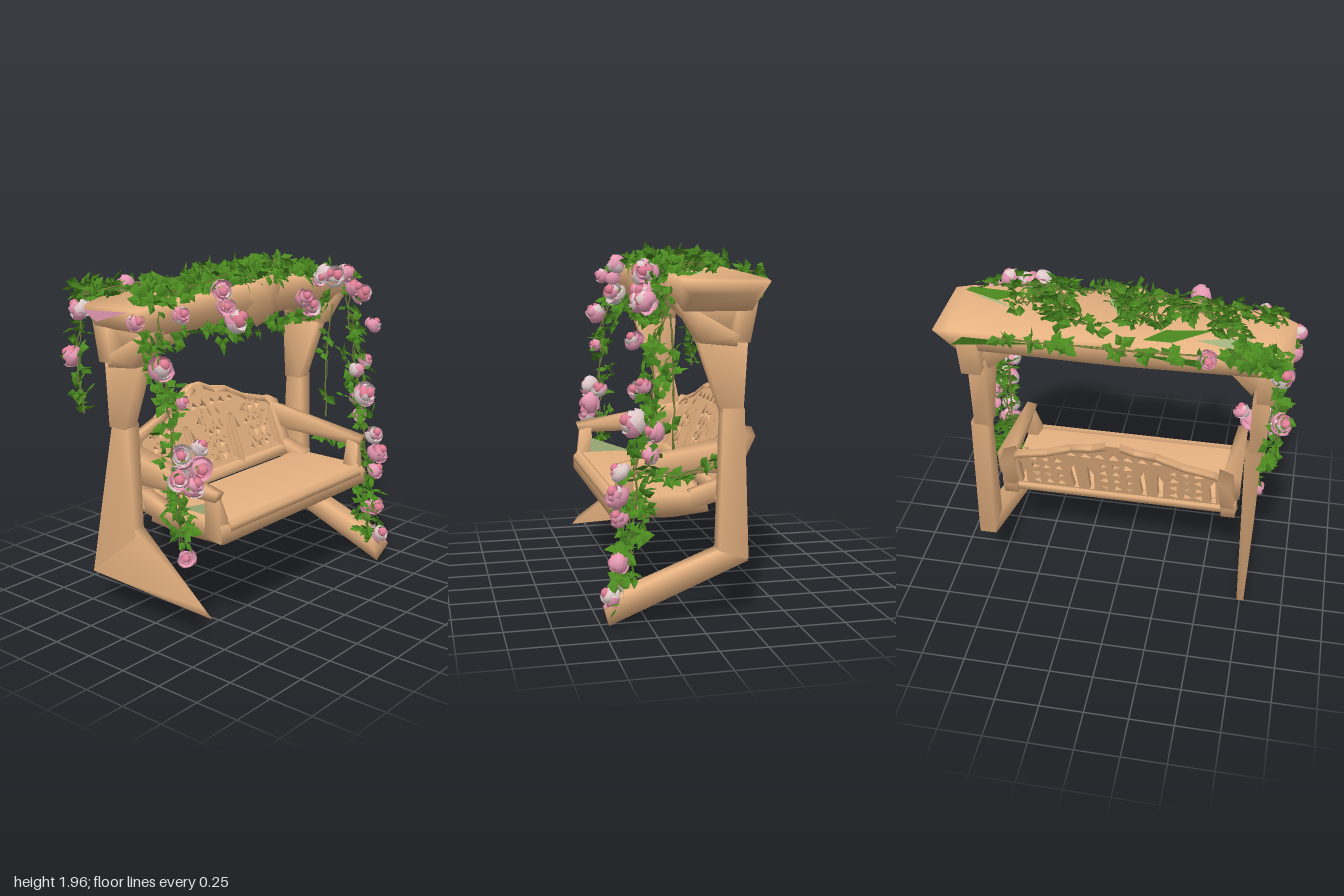
import * as THREE from 'three';
import { mergeGeometries, mergeVertices } from 'three/addons/utils/BufferGeometryUtils.js';
import { ConvexGeometry } from 'three/addons/geometries/ConvexGeometry.js';

const V = (x, y, z) => new THREE.Vector3(x, y, z);

export function createModel() {
  const root = new THREE.Group();
  const mat = (name, color, side = THREE.FrontSide) => {
    const m = new THREE.MeshStandardMaterial({ color, side });
    m.name = name;
    return m;
  };
  const wood = mat('warm wood', 0xebb684);
  const leafMat = mat('leaf green', 0x4c8a20, THREE.DoubleSide);
  const leafDark = mat('dark leaf green', 0x3e761b, THREE.DoubleSide);
  const paleGreen = mat('pale green', 0xa9b981, THREE.DoubleSide);
  const pink = mat('rose pink', 0xf0a0bb, THREE.DoubleSide);
  const pale = mat('pale rose', 0xe2cccd, THREE.DoubleSide);
  const heart = mat('deep rose', 0xe68299, THREE.DoubleSide);
  const stemMat = mat('vine stem', 0x76803c);

  let seed = 7;
  const rnd = (a = 0, b = 1) => {
    seed = (seed * 16807) % 2147483647;
    return a + (b - a) * (seed / 2147483647);
  };
  const add = (name, geo, material) => {
    const m = new THREE.Mesh(geo, material);
    m.name = name;
    root.add(m);
    return m;
  };
  // Softly shaded timber from corner points
  const hull = (name, pts) => {
    const raw = new ConvexGeometry(pts.map(p => V(...p)));
    raw.deleteAttribute('normal');
    const geo = mergeVertices(raw);
    geo.computeVertexNormals();
    return add(name, geo, wood);
  };
  // Timber between two side-profile polygons (z, y) given over an x range
  const plank = (name, x0, x1, prof) =>
    hull(name, prof.flatMap(([z, y]) => [[x0, y, z], [x1, y, z]]));

  // Canopy: stations of x, top y, bottom y, front z, back z
  const stations = [
    [-0.92, 1.77, 1.67, 0.09, -0.3], [-0.8, 1.79, 1.63, 0.14, -0.34], [0, 1.825, 1.625, 0.165, -0.36],
    [0.88, 1.79, 1.62, 0.14, -0.34], [0.97, 1.78, 1.71, 0.12, -0.33]];
  hull('canopy', stations.flatMap(([x, t, b, f, k]) => [[x, t, f - 0.01], [x, t - 0.01, k],
    [x, b, k + 0.08], [x, b, f - 0.05], [x, (t + b) / 2, f + 0.01]]));
  hull('canopyOrnament', [[-0.19, 1.73, 0.15], [-0.08, 1.84, 0.17], [0.08, 1.86, 0.17], [0.19, 1.76, 0.15],
    [0.1, 1.61, 0.14], [-0.03, 1.57, 0.13], [0, 1.73, 0.2], [0, 1.7, 0.08]]);

  // Frame on both sides
  for (const s of [-1, 1]) {
    plank('postHead', s * 0.73, s * 0.82, [[0.0, 1.47], [-0.26, 1.47], [-0.13, 1.1], [-0.24, 1.1]]);
    plank('frontBrace', s * 0.75, s * 0.86, [[0.12, 1.66], [0.03, 1.63], [0, 1.46], [-0.19, 1.44], [-0.2, 1.5]]);
    plank('backBrace', s * 0.75, s * 0.86, [[-0.31, 1.72], [-0.2, 1.65], [-0.17, 1.46], [-0.26, 1.46]]);
    hull('archBrace', [[s * 0.4, 1.66, 0.08], [s * 0.4, 1.66, 0], [s * 0.42, 1.61, 0.05], [s * 0.72, 1.47, -0.05],
      [s * 0.72, 1.47, -0.2], [s * 0.8, 1.56, -0.02], [s * 0.8, 1.66, 0.08], [s * 0.8, 1.66, -0.2]]);
  }
  plank('leftPost', 0.745, 0.84, [[-0.13, 1.12], [-0.24, 1.12], [-0.11, 0.36], [-0.27, 0.33]]);
  hull('leftFoot', [[0.74, 0.38, -0.11], [0.84, 0.38, -0.11], [0.74, 0.32, -0.27], [0.84, 0.32, -0.27], [0.75, 0.18, 0.42],
    [0.85, 0.18, 0.42], [0.72, 0.09, 0.48], [0.86, 0.1, 0.49], [0.78, 0, 0.46], [0.79, 0.17, 0.1]]);
  hull('rightPost', [[-0.8, 1.12, -0.13], [-0.71, 1.12, -0.13], [-0.8, 1.12, -0.24], [-0.71, 1.12, -0.24],
    [-0.79, 0.5, -0.1], [-0.72, 0.5, -0.1], [-0.78, 0.2, -0.45], [-0.74, 0.2, -0.45], [-0.73, 0.25, -0.2]]);
  hull('rightFoot', [[-0.79, 0.55, -0.12], [-0.72, 0.55, -0.12], [-0.78, 0.2, -0.45], [-0.74, 0.2, -0.45],
    [-0.755, 0.15, 0.42], [-0.765, 0.2, 0.38], [-0.75, 0.17, 0]]);

  // Bench seat
  plank('seat', -0.66, 0.67, [[0.42, 0.54], [0.42, 0.62], [0.39, 0.65], [0.15, 0.63], [-0.08, 0.65], [-0.1, 0.55], [0.1, 0.53]]);
  plank('seatLip', -0.6, 0.62, [[0.425, 0.6], [0.425, 0.63], [0.4, 0.665], [0.36, 0.64]]);

  // Bench arms and side rails
  for (const s of [-1, 1]) {
    hull('armFront', [[s * 0.67, 0.54, 0.41], [s * 0.58, 0.6, 0.41], [s * 0.67, 0.8, 0.38], [s * 0.64, 0.8, 0.38],
      [s * 0.67, 0.56, 0.3], [s * 0.6, 0.6, 0.3], [s * 0.68, 0.82, 0.31], [s * 0.63, 0.8, 0.31]]);
    hull('armRest', [[s * 0.69, 0.83, 0.4], [s * 0.63, 0.82, 0.4], [s * 0.68, 0.77, 0.38], [s * 0.64, 0.77, 0.38],
      [s * 0.7, 0.92, -0.24], [s * 0.6, 0.95, -0.24], [s * 0.7, 0.76, -0.22], [s * 0.62, 0.8, -0.22]]);
    hull('sideRail', [[s * 0.68, 0.67, 0], [s * 0.6, 0.66, 0], [s * 0.68, 0.57, 0], [s * 0.6, 0.56, 0],
      [s * 0.68, 0.74, -0.24], [s * 0.6, 0.74, -0.24], [s * 0.68, 0.62, -0.22], [s * 0.6, 0.62, -0.22]]);
    hull('backStile', [[s * 0.69, 0.62, -0.13], [s * 0.6, 0.62, -0.12], [s * 0.68, 0.63, -0.2], [s * 0.6, 0.63, -0.2],
      [s * 0.66, 0.96, -0.25], [s * 0.58, 1.0, -0.26], [s * 0.65, 0.94, -0.36], [s * 0.58, 0.98, -0.36]]);
  }

  // Arched bench back with pierced carving, leaning backwards
  const lean = new THREE.Matrix4().set(1, 0, 0, 0, 0, 1, 0, 0, 0, -0.38, 1, 0.06, 0, 0, 0, 1);
  const crest = [[0.62, 0.93], [0.56, 0.99], [0.38, 1.04], [0.24, 1.11], [0.12, 1.13], [0.04, 1.165]];
  const outline = [[-0.62, 0.66], [0.62, 0.66], ...crest, ...crest.map(([x, y]) => [-x, y]).reverse()];
  const back = new THREE.Shape(outline.map(p => new THREE.Vector2(...p)));
  const hole = pts => back.holes.push(new THREE.Path(pts.map(p => new THREE.Vector2(...p))));
  const relief = (name, pts) => hull(name, pts).geometry.applyMatrix4(lean);
  for (const cx of [-0.4, 0, 0.4]) {
    for (const s of [-1, 1])
      hole([[cx + s * 0.14, 0.7], [cx + s * 0.168, 0.7], [cx + s * 0.163, 0.94], [cx + s * 0.13, 0.86]]);
    for (let row = 0; row < 4; row++) for (let col = -1; col <= 1; col++) {
      const x = cx + col * 0.07, y = 0.735 + row * 0.075, t = rnd(0, 6);
      const r = rnd(0.022, 0.033);
      hole([0, 2.1, 4.1].map(a => [x + r * Math.cos(a + t), y + r * Math.sin(a + t)]));
      // raised carved chip beside each piercing
      const ox = x + 0.034, oy = y + 0.036, u = rnd(0, 3);
      relief('carving', [[ox + 0.03 * Math.cos(u), oy + 0.03 * Math.sin(u), 0.039], [ox - 0.03 * Math.cos(u), oy - 0.03 * Math.sin(u), 0.039],
        [ox - 0.012 * Math.sin(u), oy + 0.012 * Math.cos(u), 0.039], [ox, oy, 0.06]]);
    }
  }
  for (let x = -0.24; x < 0.25; x += 0.08)
    hole([[x - 0.03, 1.03], [x + 0.03, 1.025 + rnd(0, 0.02)], [x, 1.08 - Math.abs(x) * 0.07]]);
  add('piercedBack', new THREE.ExtrudeGeometry(back, { depth: 0.04, bevelEnabled: false }).applyMatrix4(lean), wood);
  for (const x of [-0.2, 0.2, -0.6, 0.6])
    relief('backSlat', [[x - 0.03, 0.66, 0.04], [x + 0.03, 0.66, 0.04], [x, 0.66, 0.06], [x - 0.02, 0.96, 0.04],
      [x + 0.02, 0.96, 0.04], [x, 0.94, 0.055], [x, 0.8, -0.015]]);
  relief('lowerRail', [-0.64, 0.64].flatMap(x => [[x, 0.64, 0.07], [x, 0.69, 0.05], [x, 0.69, -0.02], [x, 0.62, -0.01]]));
  for (const s of [-1, 1]) for (let i = 0; i < crest.length - 1; i++)
    relief('crestRail', [crest[i], crest[i + 1]].flatMap(([x, y]) =>
      [[s * x, y, -0.01], [s * x, y + 0.005, 0.03], [s * x, y - 0.03, 0.055], [s * x, y - 0.04, -0.005]]));

  // Foliage: cupped leaves in two shades, growing in sprigs that face up and outward
  const tri = pts => {
    const g = new THREE.BufferGeometry();
    g.setAttribute('position', new THREE.Float32BufferAttribute(pts.flat(), 3));
    g.computeVertexNormals();
    return g;
  };
  const B = [0, 0, 0], L = [-0.38, 0.4, -0.06], R = [0.38, 0.4, -0.06], M = [0, 0.5, 0.06], T = [0, 1, -0.12];
  const leaf = tri([B, M, L, B, R, M, M, T, L, M, R, T]);
  const leaves = [[], []], petals = [[], [], []];
  const place = (geo, p, q, s) => geo.clone().applyMatrix4(new THREE.Matrix4().compose(p, q, V(s, s, s)));
  const sprig = p => {
    const out = V(p.x * 0.4 + rnd(-0.9, 0.9), rnd(-0.1, 1.5), (p.z > -0.25 ? 0.7 : -0.7) + rnd(-0.8, 0.8)).normalize();
    const q = new THREE.Quaternion().setFromUnitVectors(V(0, 0, 1), out);
    const turn = rnd(0, 6.3);
    for (let k = 0; k < 3; k++) {
      const roll = new THREE.Quaternion().setFromEuler(new THREE.Euler(rnd(-0.4, 0.4), rnd(-0.4, 0.4), turn + k * 1.5));
      leaves[rnd() < 0.7 ? 0 : 1].push(place(leaf, p, q.clone().multiply(roll), rnd(0.045, 0.085)));
    }
  };

  // Vines: path points, sprig count and spread
  const stems = [];
  const vine = (pts, count, spread, ySpread = spread) => {
    const curve = new THREE.CatmullRomCurve3(pts.map(p => V(...p)));
    for (let k = 0; k < 2; k++) {
      const w = curve.getPoints(pts.length * 4).map(p => p.add(V(rnd(-1, 1), rnd(-1, 1), rnd(-1, 1)).multiplyScalar(spread * 0.3)));
      stems.push(new THREE.TubeGeometry(new THREE.CatmullRomCurve3(w), 40, 0.004, 4));
    }
    for (let i = 0; i < count; i++) sprig(curve.getPoint(rnd()).add(
      V(rnd(-1, 1) * spread, rnd(-1, 1) * ySpread, rnd(-1, 1) * spread)));
  };
  vine([[0.79, 0.14, 0.42], [0.77, 0.35, 0.36], [0.81, 0.6, 0.34], [0.8, 0.85, 0.31], [0.82, 1.1, 0.24], [0.8, 1.4, 0.22], [0.8, 1.7, 0.16]], 105, 0.065);
  vine([[-0.82, 1.75, 0.13], [-0.86, 1.5, 0.18], [-0.82, 1.1, 0.22], [-0.8, 0.75, 0.23], [-0.76, 0.48, 0.23]], 56, 0.06);
  vine([[-0.85, 1.78, -0.37], [-0.88, 1.5, -0.4], [-0.85, 1.15, -0.4]], 22, 0.03);
  vine([[0.74, 0.79, 0.3], [0.73, 0.76, 0.1], [0.72, 0.82, -0.1]], 16, 0.025);
  vine([[0.72, 1.6, 0.12], [0.7, 1.3, 0.1], [0.7, 0.9, 0.1]], 5, 0.02);
  vine([[-0.85, 1.79, 0.05], [-0.6, 1.83, 0.08], [-0.2, 1.86, 0.05], [0.1, 1.84, 0.11], [0.5, 1.84, 0.12], [0.82, 1.76, 0.2]], 110, 0.08, 0.025);
  vine([[-0.85, 1.82, -0.38], [-0.6, 1.83, -0.18], [-0.4, 1.86, -0.02], [-0.12, 1.86, -0.16], [-0.02, 1.86, -0.05], [-0.15, 1.85, 0.1]], 85, 0.085, 0.025);
  vine([[0.12, 1.85, -0.24], [0.3, 1.86, -0.2], [0.35, 1.87, -0.02], [0.55, 1.84, -0.08], [0.45, 1.83, 0.12]], 52, 0.075, 0.03);
  vine([[-0.85, 1.8, -0.37], [-0.76, 1.83, -0.42], [-0.6, 1.83, -0.34]], 36, 0.055, 0.04);
  vine([[-0.5, 1.82, -0.4], [0, 1.8, -0.39], [0.6, 1.8, -0.4]], 18, 0.02);
  vine([[0.3, 1.84, -0.03], [0.37, 1.92, -0.02]], 4, 0.015);
  add('vineStems', mergeGeometries(stems), stemMat);
  // Loose fringe along the canopy front
  for (let i = 0; i < 38; i++) {
    const x = rnd(-0.68, 0.66);
    sprig(V(x, rnd(1.53, 1.62) + x * x * 0.15, rnd(0.1, 0.19)));
  }

  // Roses: wide open ruffled petals in two rings round a bud
  const cup = new THREE.SphereGeometry(1, 3, 3, -0.75, 1.5, 0.75, 1.4);
  const bud = new THREE.SphereGeometry(0.42, 5, 4).translate(0, 0.35, 0);
  const rose = (x, y, z, s = 0.06) => {
    const dir = V(rnd(-0.7, 0.5) + x * 0.3, rnd(0, 1), Math.sign(z) + rnd(-0.4, 0.4)).normalize();
    const q = new THREE.Quaternion().setFromUnitVectors(V(0, 1, 0), dir);
    const p = V(x, y, z).addScaledVector(dir, 0.02);
    const paleChance = rnd() < 0.3 ? 0.65 : 0.14;
    petals[2].push(place(bud, p, q, s * 1.15));
    for (let i = 0; i < 10; i++) {
      const inner = i > 4, k = inner ? 0.65 : 0.9;
      const g = cup.clone().scale(k, k * rnd(0.7, 1), k).rotateX(rnd(-0.25, 0.25)).rotateZ(inner ? rnd(0.1, 0.4) : rnd(0.4, 0.95))
        .rotateY(i * 1.257 + (inner ? 0.6 : 0)).translate(0, inner ? 0.15 : 0, 0);
      const tone = rnd() < paleChance ? 1 : inner && rnd() < 0.3 ? 2 : 0;
      petals[tone].push(place(g, p, q, s * rnd(0.95, 1.3)));
    }
  };
  const roses = [
    [0.82, 0.16, 0.44, 0.065], [0.82, 0.34, 0.4], [0.76, 0.35, 0.37, 0.045], [0.8, 0.57, 0.4, 0.055], [0.81, 0.69, 0.41, 0.065],
    [0.8, 0.8, 0.39], [0.78, 1.05, 0.32, 0.075], [0.85, 1.02, 0.22], [0.86, 0.9, 0.24, 0.05], [0.73, 1.21, 0.29, 0.05],
    [0.84, 1.24, 0.28, 0.05], [0.84, 1.47, 0.33, 0.05], [0.82, 1.66, 0.26, 0.065], [0.74, 1.71, 0.24, 0.06], [0.68, 1.8, 0.22],
    [0.58, 1.78, 0.22, 0.068], [0.5, 1.82, 0.2, 0.06], [0.45, 1.79, 0.2, 0.045], [0.38, 1.64, 0.2, 0.06], [0.33, 1.69, 0.19, 0.055],
    [-0.38, 1.82, 0.18, 0.058], [-0.38, 1.74, 0.2, 0.05], [-0.31, 1.65, 0.21, 0.068],
    [-0.9, 1.49, 0.22, 0.068], [-0.93, 1.71, 0.07, 0.05], [-0.74, 1.74, 0.2, 0.05], [-0.78, 1.3, 0.24, 0.04],
    [-0.82, 1.03, 0.28, 0.06], [-0.7, 0.95, 0.29, 0.07], [-0.84, 0.92, 0.28, 0.065], [-0.65, 1.03, 0.24, 0.052],
    [-0.77, 0.86, 0.3], [-0.77, 0.46, 0.26, 0.05],
    [-0.49, 1.8, -0.41, 0.055], [-0.89, 1.47, -0.42, 0.06], [-0.87, 1.72, -0.37, 0.065]];
  roses.forEach(r => rose(...r));

  add('leaves', mergeGeometries(leaves[0]), leafMat);
  add('darkLeaves', mergeGeometries(leaves[1]), leafDark);
  add('rosePetals', mergeGeometries(petals[0]), pink);
  add('palePetals', mergeGeometries(petals[1]), pale);
  add('roseHearts', mergeGeometries(petals[2]), heart);
  // Fallen petal lying against the right end of the canopy
  add('endPetal', tri([[-0.926, 1.74, -0.3], [-0.926, 1.69, -0.2], [-0.926, 1.76, 0.02]]), pink);

  // Flat patches lying on the canopy top: x, z corners (the roof rises towards x = 0)
  const onRoof = pts => pts.map(([x, z]) => [x, 1.834 - Math.abs(x) * 0.04, z]);
  add('roofMoss', tri([
    ...onRoof([[-0.5, -0.14], [-0.3, -0.31], [-0.15, -0.32], [-0.5, -0.14], [-0.15, -0.32], [-0.25, -0.2],
      [0.53, 0.06], [0.88, 0.1], [0.9, 0.06], [0.53, 0.06], [0.9, 0.06], [0.7, -0.03], [-0.6, 0.08], [-0.3, 0.12], [-0.35, 0]]),
    // on the sloping back face
    [0.88, 1.68, -0.315], [0.4, 1.765, -0.362], [0.8, 1.76, -0.354],
    [-0.5, 1.69, -0.325], [-0.45, 1.765, -0.362], [-0.1, 1.77, -0.368]]), leafMat);
  add('paleRoofMoss', tri([
    ...onRoof([[-0.7, -0.16], [-0.42, -0.26], [-0.6, -0.3], [-0.03, -0.2], [0.02, 0.04], [0.1, 0.06], [0.6, -0.1], [0.7, -0.02], [0.85, 0.02]]),
    // inside the right arm
    [-0.6, 0.74, 0.32], [-0.6, 0.65, 0.07], [-0.6, 0.65, 0.32]]), paleGreen);
  return root;
}
